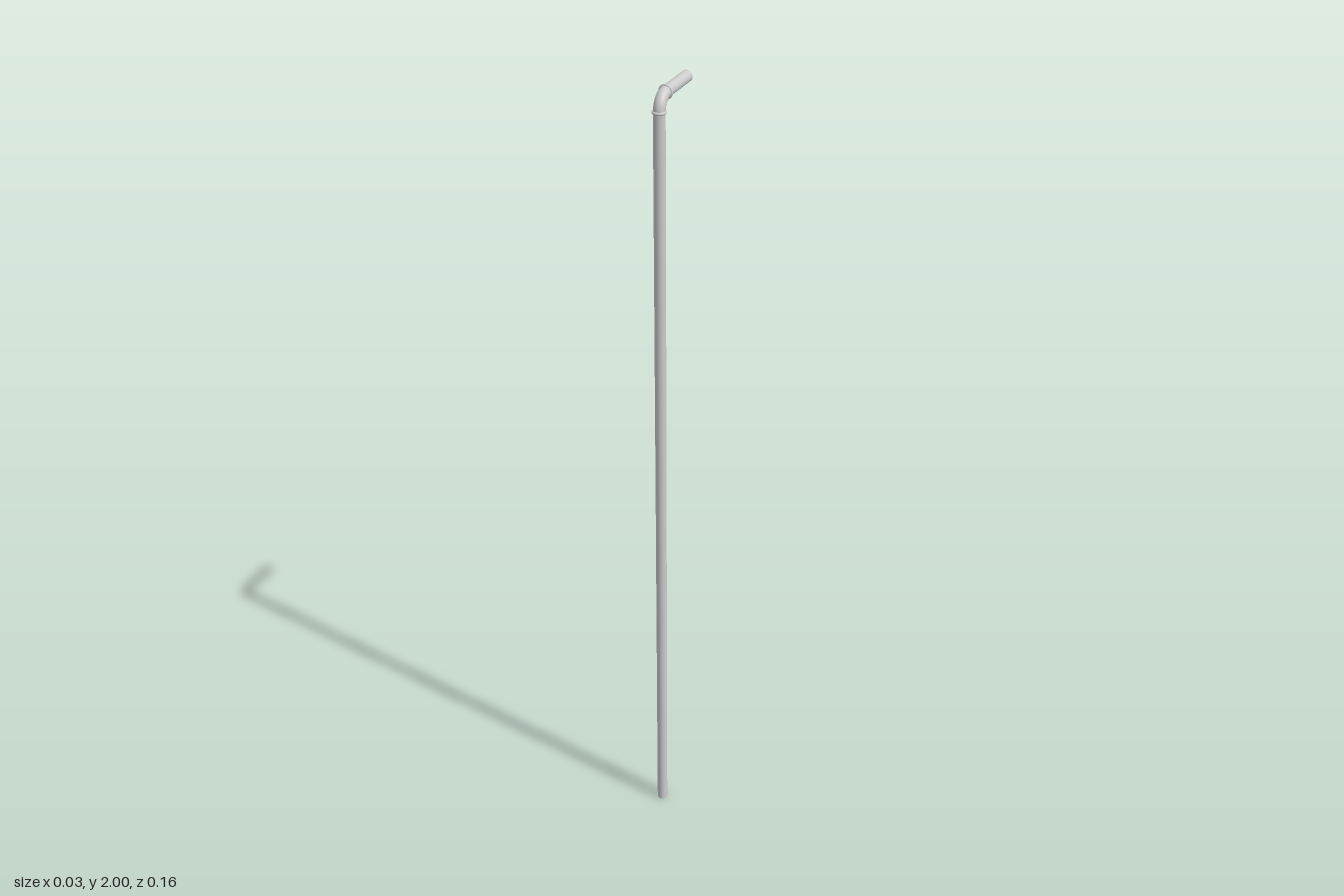
import * as THREE from 'three';

export function createModel() {
  const model = new THREE.Group();
  const material = new THREE.MeshStandardMaterial({ color: 0xcccccc, side: THREE.DoubleSide });
  const R = 0.0132;      // pipe radius
  const BEND = 0.033;    // bend radius of the elbow
  const Z = 0.0635;      // axis of the upright pipe
  const Y = 1.9835;      // axis of the horizontal pipe
  const BACK = -0.08;    // rear end of the horizontal pipe

  const add = (name, geometry, y, z, turned = false) => {
    const mesh = new THREE.Mesh(geometry, material);
    mesh.name = name;
    mesh.position.set(0, y, z);
    if (turned) mesh.rotation.x = Math.PI / 2;
    model.add(mesh);
  };

  // Straight pipes
  const upright = Y - BEND;
  add('uprightPipe', new THREE.CylinderGeometry(R, R, upright, 32), upright / 2, Z);
  const arm = Z - BEND - BACK;
  add('horizontalPipe', new THREE.CylinderGeometry(R, R, arm, 32), Y, BACK + arm / 2, true);

  // Quarter-circle elbow, turned into the YZ plane so it bends towards the back
  const elbow = new THREE.TorusGeometry(BEND, R, 32, 16, Math.PI / 2);
  elbow.rotateY(-Math.PI / 2);
  add('elbow', elbow, Y - BEND, Z - BEND);

  // Rounded joint rings at both ends of the elbow
  const ring = new THREE.TorusGeometry(R, 0.0033, 12, 32);
  ring.rotateX(Math.PI / 2);
  add('lowerJointRing', ring, Y - BEND, Z);
  add('upperJointRing', ring, Y, Z - BEND, true);

  return model;
}
